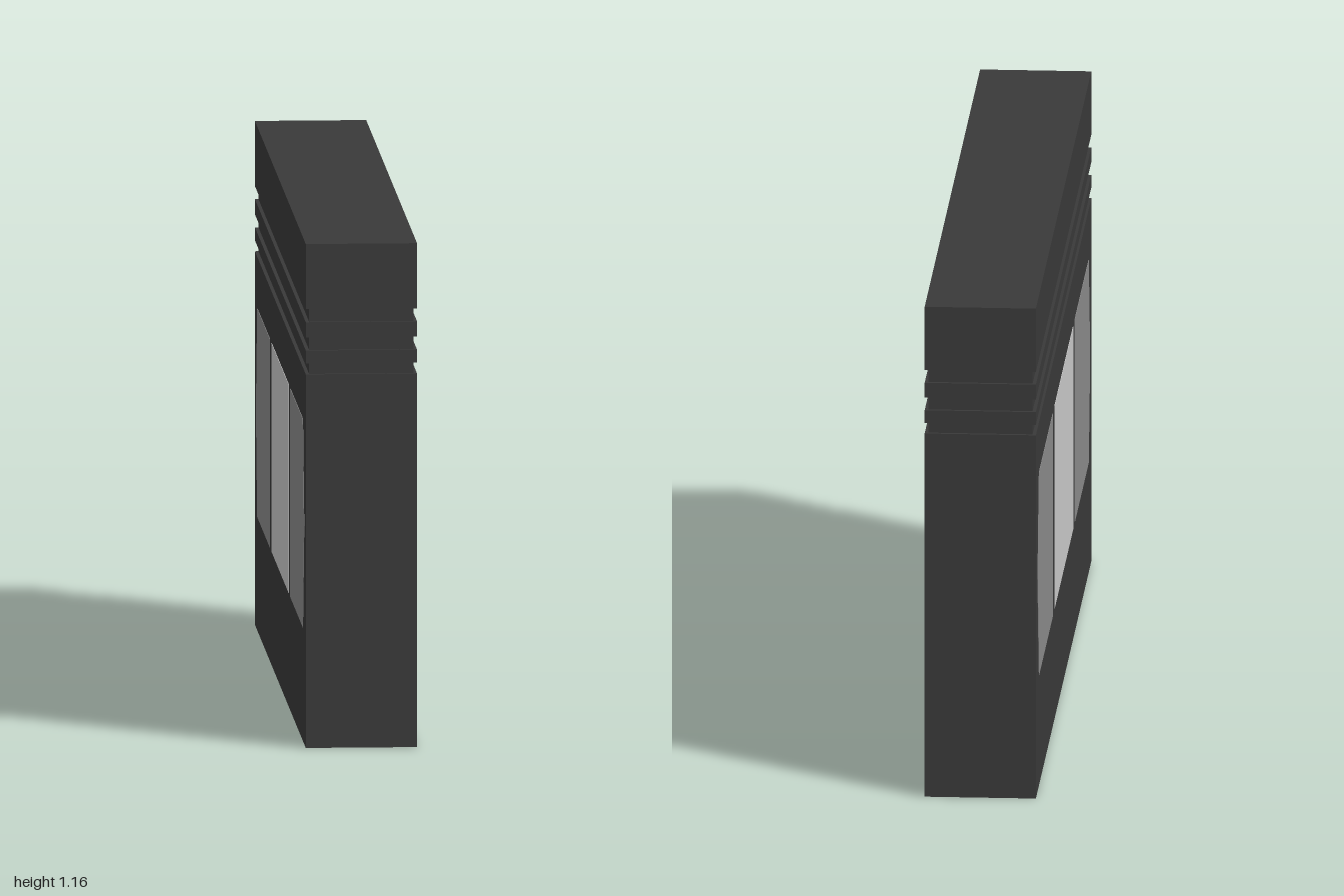
import * as THREE from 'three';

const W = 0.254, L = 2, HALF = W / 2;   // thickness (x) and length (z)
const BODY_TOP = 0.86, RECESS = 0.06, PROUD = 0.001;
const HUB_Z = 0.66, HUB_Y = 0.51;

const grey = (color) => new THREE.MeshStandardMaterial({ color, flatShading: true });

export function createModel() {
  const group = new THREE.Group();
  const shell = grey(0x3a3a3a), light = grey(0xcccccc), smoked = grey(0x8c8c8c);

  const add = (name, geometry, material) => {
    const mesh = new THREE.Mesh(geometry, material);
    mesh.name = name;
    group.add(mesh);
    return mesh;
  };
  const slab = (name, x0, x1, y0, y1, length) => {
    const mesh = add(name, new THREE.BoxGeometry(x1 - x0, y1 - y0, length), shell);
    mesh.position.set((x0 + x1) / 2, (y0 + y1) / 2, 0);
  };
  const points = (list) => list.map(([u, v]) => new THREE.Vector2(u, v));
  // Six-sided outline: half width at the middle, half width at top and bottom, half height
  const hexagon = (u, mid, end, h) => points([
    [u + mid, HUB_Y], [u + end, HUB_Y + h], [u - end, HUB_Y + h],
    [u - mid, HUB_Y], [u - end, HUB_Y - h], [u + end, HUB_Y - h]]);
  // Extrude an outline sideways: side 1 grows towards +x, side -1 towards -x
  const panel = (name, outline, holes, depth, x, side, material) => {
    const shape = new THREE.Shape(outline);
    shape.holes = holes.map((h) => new THREE.Path(h));
    const geometry = new THREE.ExtrudeGeometry(shape, { depth, bevelEnabled: false });
    geometry.rotateY(side * Math.PI / 2);
    add(name, geometry, material).position.x = x;
  };

  // Main case: solid core plus a face panel pierced for the two hubs
  const floorX = HALF - RECESS;
  const hubOutline = (u) => hexagon(u, 0.172, 0.09, 0.153);
  const recessOutline = (u) => hexagon(u, 0.091, 0.075, 0.094);
  slab('caseCore', -HALF, floorX, 0, BODY_TOP, L);
  panel('caseFace', points([[-1, 0], [1, 0], [1, BODY_TOP], [-1, BODY_TOP]]),
    [hubOutline(-HUB_Z), hubOutline(HUB_Z)], RECESS, floorX, 1, shell);

  // Grooved band: narrower core with two ribs, then the lid
  const inset = 0.008;
  slab('grooveCore', -HALF + inset, HALF - inset, BODY_TOP, 1.01, L - 2 * inset);
  slab('lowerRib', -HALF, HALF, 0.885, 0.915, L);
  slab('upperRib', -HALF, HALF, 0.945, 0.98, L);
  slab('lid', -HALF, HALF, 1.01, 1.16, L);

  // Reel hubs with a sunken centre
  for (const u of [-HUB_Z, HUB_Z]) {
    panel('hubRing', hubOutline(u), [recessOutline(u)], RECESS + PROUD, floorX, 1, light);
    panel('hubFloor', recessOutline(u), [], PROUD, floorX, 1, light);
  }

  // Centre label and the two side windows on the other face
  const y0 = 0.263, y1 = 0.743;
  panel('label', points([[-0.335, y0], [0.335, y0], [0.335, y1], [-0.335, y1]]),
    [], PROUD, -HALF, -1, light);
  for (const s of [-1, 1]) {
    panel('window', points([[s * 0.4, y0], [s * 0.895, y0], [s * 0.945, (y0 + y1) / 2],
      [s * 0.895, y1], [s * 0.4, y1]]), [], PROUD, -HALF, -1, smoked);
  }
  return group;
}
